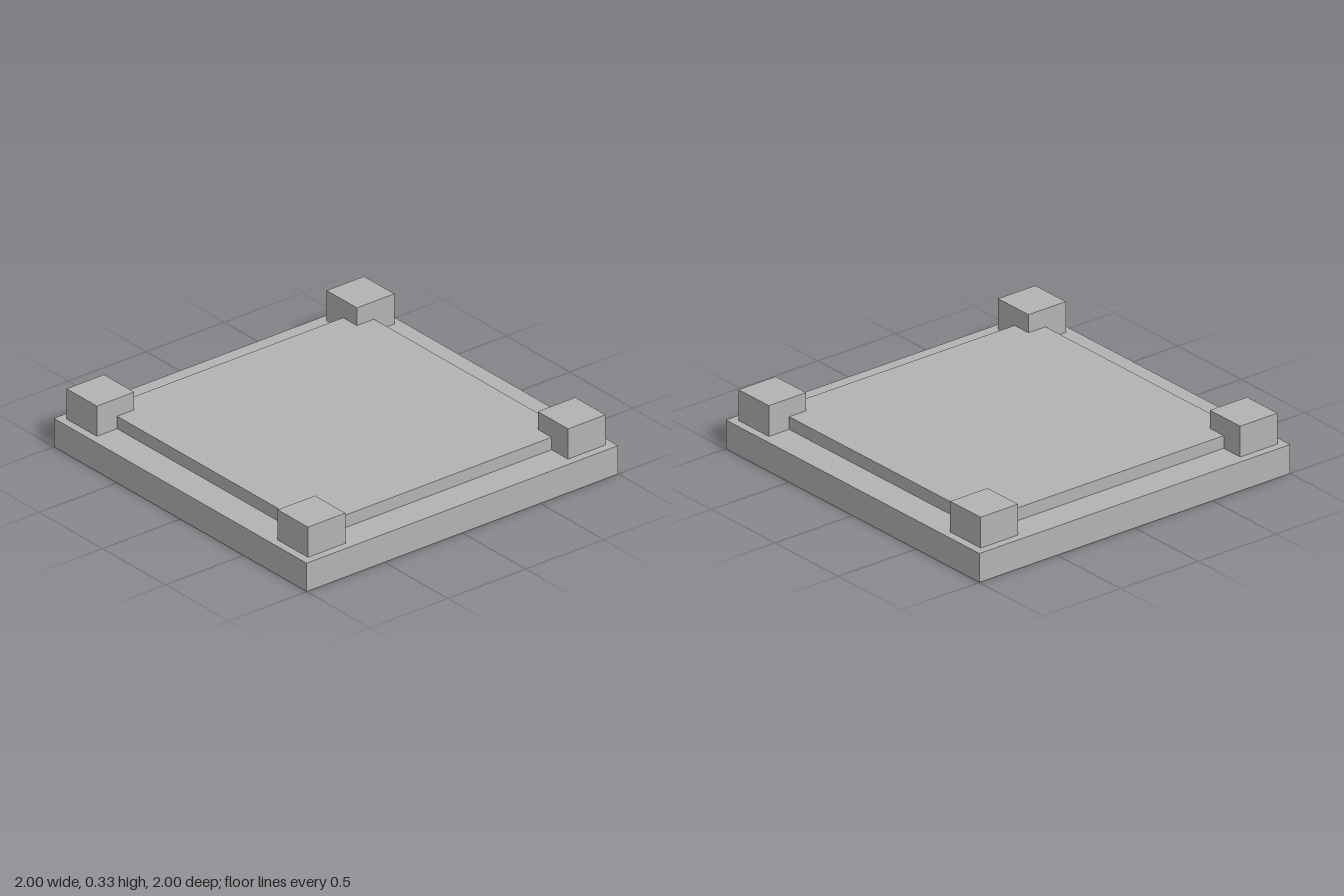
import * as THREE from 'three';

export function createModel() {
  const group = new THREE.Group();
  const stone = new THREE.MeshStandardMaterial({ color: 0xb2b2b2 });
  stone.name = 'light grey';

  // Square block spanning bottom to top, centred on (x, z)
  function block(name, size, bottom, top, x = 0, z = 0) {
    const mesh = new THREE.Mesh(new THREE.BoxGeometry(size, top - bottom, size), stone);
    mesh.name = name;
    mesh.position.set(x, (bottom + top) / 2, z);
    group.add(mesh);
  }

  // Base slab and the raised platform on it
  block('base', 2, 0, 0.16);
  block('platform', 1.65, 0.16, 0.23);

  // One post at each corner
  for (const [side, x] of [['Left', 0.835], ['Right', -0.835]]) {
    for (const [end, z] of [['front', 0.835], ['back', -0.835]]) {
      block(`${end}${side}Post`, 0.24, 0.16, 0.33, x, z);
    }
  }
  return group;
}
